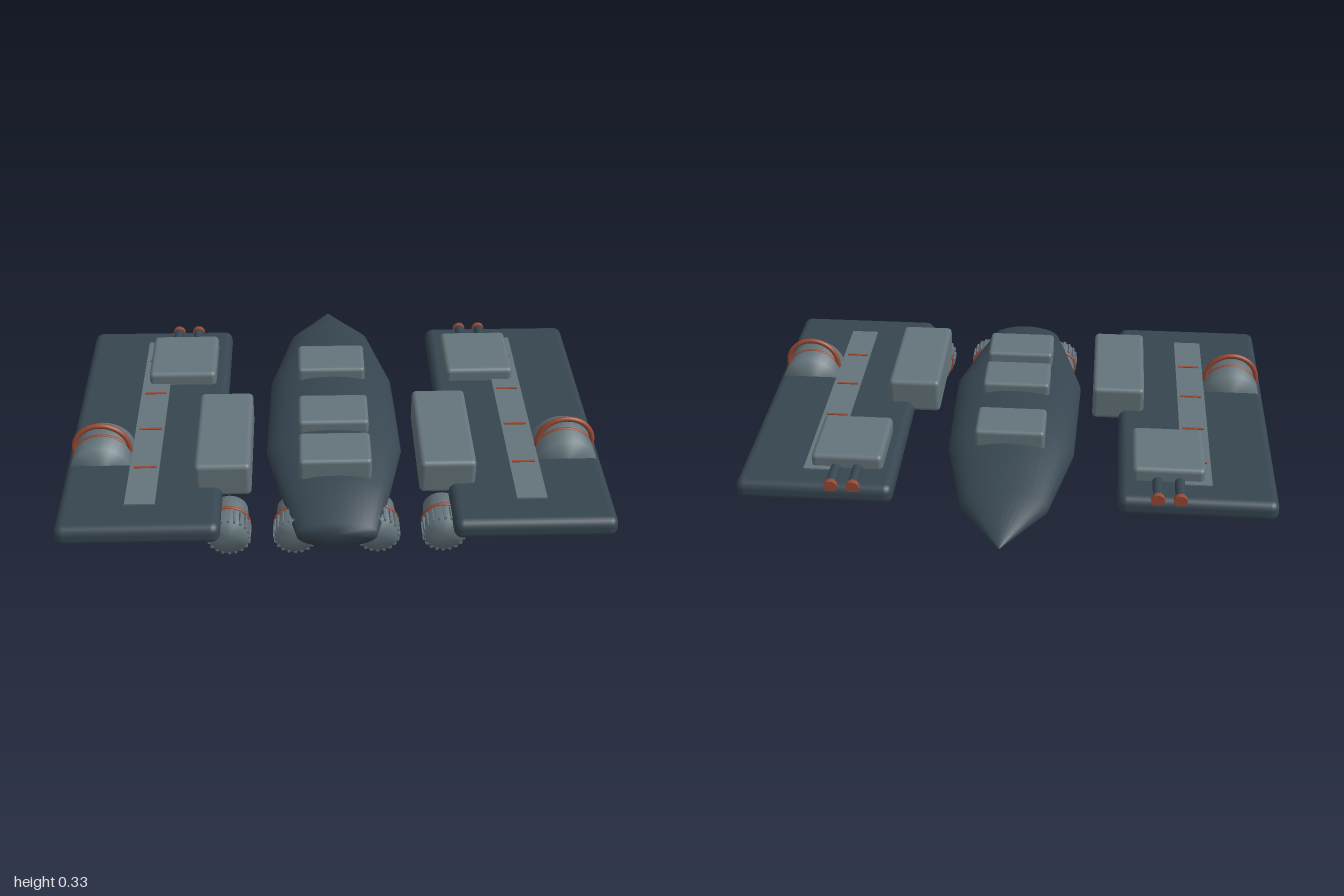
import * as THREE from 'three';
import { mergeVertices } from 'three/addons/utils/BufferGeometryUtils.js';
import { RoundedBoxGeometry } from 'three/addons/geometries/RoundedBoxGeometry.js';

const mat = (name, color) => {
  const m = new THREE.MeshStandardMaterial({ color });
  m.name = name;
  return m;
};

export function createModel() {
  const hullDark = mat('dark slate', 0x364550);
  const panel = mat('panel grey', 0x64747b);
  const copper = mat('copper', 0x964a34);
  const root = new THREE.Group();
  root.name = 'ship';

  const add = (parent, name, geo, material, x = 0, y = 0, z = 0) => {
    const m = new THREE.Mesh(geo, material);
    m.name = name;
    m.position.set(x, y, z);
    parent.add(m);
    return m;
  };

  // Rounded box given by its limits on each axis
  const block = (parent, name, [x0, x1], [y0, y1], [z0, z1], r, material) =>
    add(parent, name, new RoundedBoxGeometry(x1 - x0, y1 - y0, z1 - z0, 3, r), material,
      (x0 + x1) / 2, (y0 + y1) / 2, (z0 + z1) / 2);

  // Cylinder along z, smooth over its rims
  const drum = (rBack, rFront, length, sides = 32) => {
    const g = new THREE.CylinderGeometry(rBack, rFront, length, sides).rotateX(Math.PI / 2);
    g.deleteAttribute('normal');
    g.deleteAttribute('uv');
    const merged = mergeVertices(g);
    merged.computeVertexNormals();
    return merged;
  };

  // Central hull: elliptical sections [z, half width, bottom, top]
  const sections = [
    [-0.76, 0.002, 0.129, 0.133], [-0.53, 0.163, 0.07, 0.207], [-0.18, 0.245, 0.037, 0.255],
    [0.03, 0.251, 0.047, 0.264], [0.28, 0.257, 0.06, 0.257], [0.52, 0.2, 0.073, 0.226],
    [0.73, 0.145, 0.085, 0.2],
  ];
  const n = 32, pos = [], idx = [];
  for (const [z, w, y0, y1] of sections)
    for (let j = 0; j < n; j++) {
      const a = (j / n) * Math.PI * 2;
      pos.push(w * Math.cos(a), (y0 + y1) / 2 + ((y1 - y0) / 2) * Math.sin(a), z);
    }
  for (let i = 0; i < sections.length - 1; i++)
    for (let j = 0; j < n; j++) {
      const k = (j + 1) % n, a = i * n + j, b = i * n + k;
      idx.push(a, b, a + n, b, b + n, a + n);
    }
  const last = (sections.length - 1) * n, centre = pos.length / 3;
  pos.push(0, 0.1425, 0.73);
  for (let j = 0; j < n; j++) idx.push(centre, last + j, last + ((j + 1) % n));
  const hullGeo = new THREE.BufferGeometry();
  hullGeo.setAttribute('position', new THREE.Float32BufferAttribute(pos, 3));
  hullGeo.setIndex(idx);
  hullGeo.computeVertexNormals();
  add(root, 'hull', hullGeo, hullDark);

  // Raised blocks along the spine
  for (const z of [[-0.265, -0.085], [0.083, 0.265], [0.325, 0.503]])
    block(root, 'spineBlock', [-0.133, 0.133], [0.2, 0.295], z, 0.015, panel);

  // Engine: flared drum, copper band and ribbed nozzle
  const engine = (parent, x) => {
    const g = new THREE.Group();
    g.name = 'engine';
    g.position.set(x, 0.085, 0);
    parent.add(g);
    add(g, 'engineBody', drum(0.076, 0.066, 0.155), panel, 0, 0, 0.5925);
    add(g, 'engineBand', new THREE.TorusGeometry(0.073, 0.006, 8, 32), copper, 0, 0, 0.59);
    const ribs = 20;
    for (let i = 0; i < ribs; i++) {
      const a = (i / ribs) * Math.PI * 2;
      const rib = add(g, 'nozzleRib', new THREE.BoxGeometry(0.01, 0.009, 0.065), panel,
        0.0755 * Math.cos(a), 0.0755 * Math.sin(a), 0.639);
      rib.rotation.z = a;
    }
  };

  for (const s of [1, -1]) {
    const side = new THREE.Group();
    side.name = s > 0 ? 'leftSide' : 'rightSide';
    root.add(side);
    const span = (a, b) => (s > 0 ? [a, b] : [-b, -a]);

    // Wing slab, inner pod and gun housing
    block(side, 'wing', span(0.415, 1), [0.122, 0.202], [-0.532, 0.752], 0.032, hullDark);
    block(side, 'innerPod', span(0.308, 0.512), [0.158, 0.298], [0.065, 0.527], 0.018, panel);
    block(side, 'gunHousing', span(0.466, 0.734), [0.117, 0.255], [-0.41, -0.125], 0.018, panel);

    // Twin guns
    for (const x of [0.56, 0.642]) {
      add(side, 'gunBarrel', new THREE.CylinderGeometry(0.019, 0.019, 0.13, 16).rotateX(Math.PI / 2),
        hullDark, s * x, 0.202, -0.46);
      add(side, 'gunMuzzle', new THREE.CylinderGeometry(0.025, 0.025, 0.02, 16).rotateX(Math.PI / 2),
        copper, s * x, 0.198, -0.52);
    }

    // Deck strip with copper marks
    add(side, 'deckStrip', new THREE.BoxGeometry(0.11, 0.009, 1.05), panel, s * 0.706, 0.203, 0.095);
    for (const z of [-0.29, -0.058, 0.178, 0.412])
      add(side, 'deckMark', new THREE.BoxGeometry(0.085, 0.009, 0.009), copper, s * 0.704, 0.207, z);

    // Drum set through the wing, with its band and hoop
    add(side, 'wingDrum', drum(0.115, 0.115, 0.16), panel, s * 0.872, 0.168, 0.312);
    add(side, 'drumBand', new THREE.TorusGeometry(0.114, 0.006, 8, 40), copper, s * 0.872, 0.168, 0.312);
    const hoop = new THREE.TorusGeometry(0.104, 0.01, 10, 32, Math.PI + 0.4).rotateZ(-0.2);
    add(side, 'drumHoop', hoop, copper, s * 0.872, 0.223, 0.312);

    engine(side, s * 0.39);
    engine(side, s * 0.15);
  }
  return root;
}
